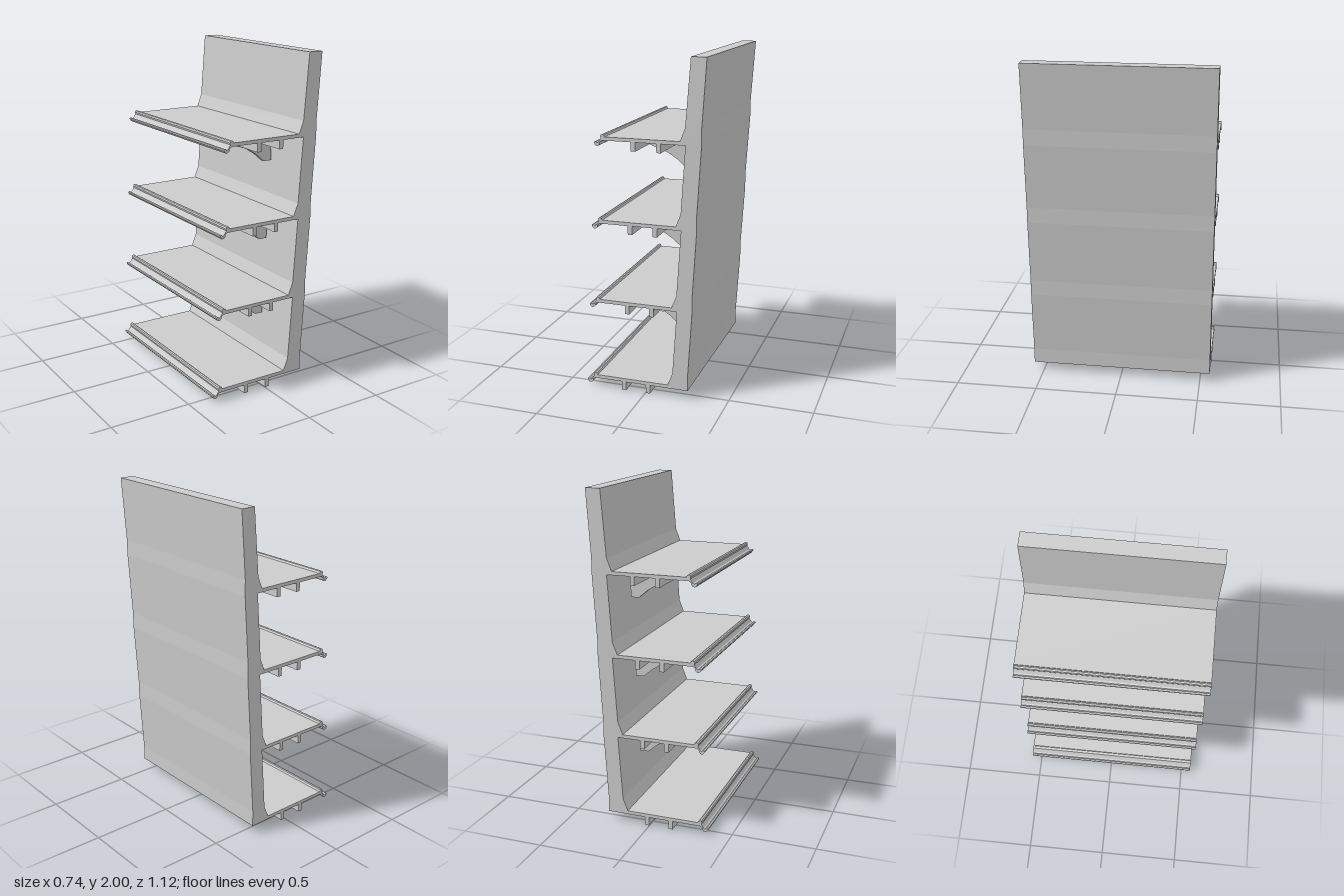
import * as THREE from 'three';

const LENGTH = 1.12;           // full run along z
const STEP = [0.0247, 0.488];  // offset from one shelf to the next
const LEVELS = 4;

const material = new THREE.MeshStandardMaterial({ color: 0xcccccc, flatShading: true });

// Extrude an x-y outline along z, centred on z = zMid
function extrude(name, points, depth = LENGTH, zMid = 0) {
  const shape = new THREE.Shape(points.map(([x, y]) => new THREE.Vector2(x, y)));
  const geometry = new THREE.ExtrudeGeometry(shape, { depth, bevelEnabled: false });
  geometry.translate(0, 0, zMid - depth / 2);
  const mesh = new THREE.Mesh(geometry, material);
  mesh.name = name;
  return mesh;
}

// Shelf board with the S-shaped rail along its outer edge
const shelfProfile = [
  [0.172, 0.052], [0.14, 0.073], [-0.305, 0.073],
  [-0.311, 0.084], [-0.319, 0.087], [-0.328, 0.084], [-0.332, 0.075],
  [-0.329, 0.064], [-0.343, 0.042], [-0.352, 0.037], [-0.361, 0.044],
  [-0.37, 0.042], [-0.371, 0.034], [-0.358, 0.019], [-0.345, 0.021],
  [-0.336, 0.031], [-0.334, 0.043], [-0.322, 0.052],
];

// Stepped gusset under a shelf
const bracketProfile = [
  [-0.242, 0.052], [-0.238, 0.042], [-0.215, 0.039], [-0.134, -0.009],
  [-0.024, -0.049], [0.036, -0.087], [0.091, -0.134], [0.143, -0.134], [0.143, 0.052],
];

// Leaning back panel: a sloped foot above every shelf, upright bands behind
function panelProfile() {
  const front = [], back = [];
  for (let i = 0; i < LEVELS; i++) {
    const dx = i * STEP[0], dy = i * STEP[1];
    front.push([0.172 + dx, 0.052 + dy], [0.14 + dx, 0.073 + dy], [0.17 + dx, 0.148 + dy]);
    back.push([0.264 + dx, 0.052 + dy], [0.264 + dx, 0.148 + dy]);
  }
  front.push([0.275, 2]);
  back.push([0.365, 2]);
  return [...back, ...front.reverse()];
}

export function createModel() {
  const model = new THREE.Group();
  model.name = 'shelvingUnit';
  model.add(extrude('backPanel', panelProfile()));

  for (let i = 0; i < LEVELS; i++) {
    const level = new THREE.Group();
    level.name = `shelfLevel${i + 1}`;
    level.position.set(i * STEP[0], i * STEP[1], 0);
    level.add(extrude('shelf', shelfProfile));

    // Two ribs run the full length of the underside
    for (const x of [-0.135, 0.016]) {
      const rib = new THREE.Mesh(new THREE.BoxGeometry(0.026, 0.054, LENGTH), material);
      rib.name = 'rib';
      rib.position.set(x, 0.027, 0);
      level.add(rib);
    }

    // Raised shelves rest on a mirrored pair of brackets
    if (i > 0) {
      for (const side of [-1, 1]) {
        level.add(extrude('bracket', bracketProfile, 0.03, side * 0.27));
      }
    }
    model.add(level);
  }
  return model;
}
